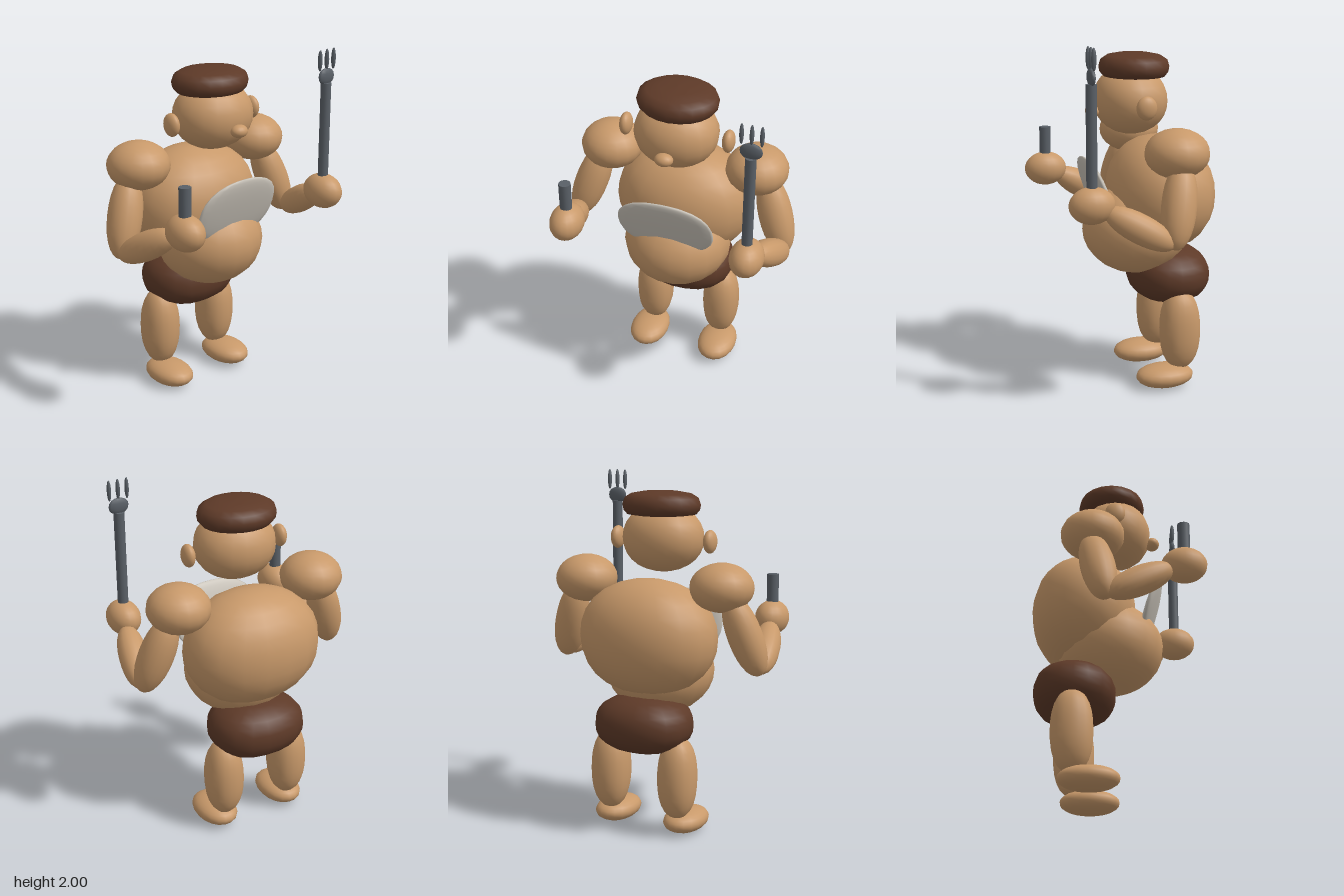
import * as THREE from 'three';
import { mergeVertices } from 'three/addons/utils/BufferGeometryUtils.js';

const material = (name, color) => {
  const m = new THREE.MeshStandardMaterial({ color });
  m.name = name;
  return m;
};

// Ellipsoid whose fullness grows with p (2 is a plain ellipsoid)
function blobGeometry(rx, ry, rz, p = 2, w = 18, h = 14) {
  const g = new THREE.SphereGeometry(1, w, h);
  const pos = g.attributes.position;
  for (let i = 0; i < pos.count; i++) {
    const x = pos.getX(i), y = pos.getY(i), z = pos.getZ(i);
    const n = (Math.abs(x) ** p + Math.abs(y) ** p + Math.abs(z) ** p) ** (1 / p);
    pos.setXYZ(i, (x / n) * rx, (y / n) * ry, (z / n) * rz);
  }
  g.deleteAttribute('uv');
  g.deleteAttribute('normal');
  const merged = mergeVertices(g, 1e-5);
  merged.computeVertexNormals();
  return merged;
}

export function createModel() {
  const group = new THREE.Group();
  const skin = material('skin', 0xc8996a);
  const brown = material('brown cloth', 0x5e3a28);
  const metal = material('metal', 0x5a6067);
  const pale = material('pale bib', 0xc6c0b6);

  const add = (name, geometry, mat, x, y, z) => {
    const mesh = new THREE.Mesh(geometry, mat);
    mesh.name = name;
    mesh.position.set(x, y, z);
    group.add(mesh);
    return mesh;
  };
  const blob = (name, mat, [x, y, z], [rx, ry, rz], p) =>
    add(name, blobGeometry(rx, ry, rz, p), mat, x, y, z);

  // Long ellipsoid reaching from one point to another
  const limb = (name, from, to, r) => {
    const a = new THREE.Vector3(...from), b = new THREE.Vector3(...to);
    const mid = a.clone().add(b).multiplyScalar(0.5);
    const mesh = add(name, blobGeometry(r, a.distanceTo(b) / 2, r, 2.15), skin, mid.x, mid.y, mid.z);
    mesh.quaternion.setFromUnitVectors(new THREE.Vector3(0, 1, 0), b.sub(a).normalize());
  };

  // Trunk
  blob('upperBody', skin, [0, 1.112, -0.186], [0.402, 0.325, 0.298], 2.15);
  blob('belly', skin, [0, 0.907, -0.04], [0.31, 0.26, 0.307]);
  blob('shorts', brown, [0, 0.628, -0.235], [0.28, 0.165, 0.232], 2.35);
  const bib = blob('bib', pale, [0, 1.14, 0.195], [0.277, 0.2, 0.028], 2.35);
  bib.rotation.x = 0.32;

  // Head
  blob('head', skin, [0, 1.648, -0.008], [0.235, 0.19, 0.206], 2.1);
  blob('nose', skin, [0, 1.595, 0.21], [0.052, 0.036, 0.043]);
  const capProfile = [[0, 1.772], [0.13, 1.772], [0.2, 1.782], [0.221, 1.805], [0.227, 1.835],
    [0.214, 1.872], [0.175, 1.895], [0.1, 1.908], [0, 1.912]];
  const cap = add('cap', new THREE.LatheGeometry(
    capProfile.map(([r, y]) => new THREE.Vector2(r, y)), 20), brown, 0, 0, -0.03);
  cap.scale.z = 0.86;

  // Paired parts
  for (const [side, s] of [['left', 1], ['right', -1]]) {
    blob(side + 'Ear', skin, [s * 0.293, 1.638, -0.01], [0.035, 0.065, 0.058]);
    blob(side + 'Shoulder', skin, [s * 0.427, 1.41, -0.137], [0.177, 0.135, 0.178]);
    limb(side + 'UpperArm', [s * 0.625, 0.93, -0.06], [s * 0.48, 1.37, -0.15], 0.095);
    limb(side + 'Forearm', [s * 0.625, 0.95, -0.055], [s * 0.535, 1.15, 0.295], 0.08);
    blob(side + 'Hand', skin, [s * 0.514, 1.178, 0.362], [0.094, 0.1, 0.125]);
    blob(side + 'Leg', skin, [s * 0.213, 0.338, -0.241], [0.108, 0.235, 0.117], 2.3);
    blob(side + 'Foot', skin, [s * 0.222, 0.07, -0.148], [0.116, 0.067, 0.168], 2.1);
  }

  // Fork in the left hand
  const forkX = 0.512, toolZ = 0.362;
  add('forkHandle', new THREE.CylinderGeometry(0.03, 0.03, 0.62, 12), metal, forkX, 1.5, toolZ);
  add('forkHead', blobGeometry(0.06, 0.046, 0.018, 2.2, 10, 8), metal, forkX, 1.846, toolZ);
  for (const i of [-1, 0, 1]) {
    add('forkTine', blobGeometry(0.012, 0.06, 0.014, 2, 8, 8), metal, forkX + i * 0.053, 1.94, toolZ);
  }

  // Short rod in the right hand
  add('rod', new THREE.CylinderGeometry(0.034, 0.034, 0.23, 12), metal, -0.515, 1.315, toolZ);

  return group;
}
